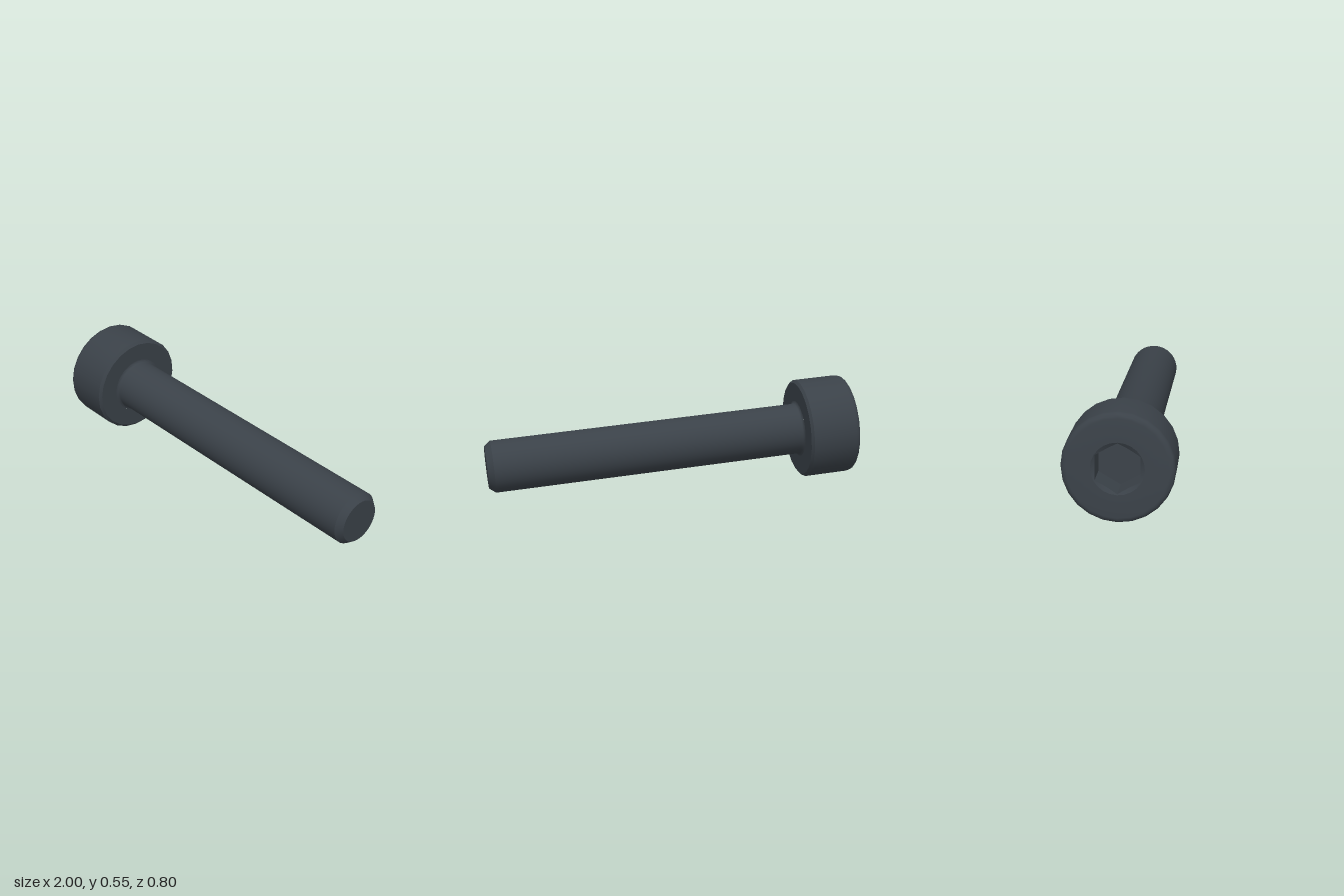
import * as THREE from 'three';
import { toCreasedNormals } from 'three/addons/utils/BufferGeometryUtils.js';

const HEAD_R = 0.266, SHAFT_R = 0.137, LENGTH = 1.97, HEAD_H = 0.275;
const RIM_R = 0.126, HEX_R = 0.122, HEX_DEPTH = 0.14;

// Points of a quarter-circle arc between two angles
function arc(cx, cy, r, from, to, steps = 4) {
  return Array.from({ length: steps + 1 }, (_, i) => {
    const a = from + (to - from) * i / steps;
    return [cx + r * Math.cos(a), cy + r * Math.sin(a)];
  });
}

function lathe(profile, segments) {
  return new THREE.LatheGeometry(profile.map(([r, y]) => new THREE.Vector2(r, y)), segments);
}

// Hexagonal socket: a turned profile whose round wall is pressed into a hexagon
function socketGeometry() {
  const geo = lathe([[0, HEX_DEPTH], [HEX_R, HEX_DEPTH], [HEX_R, 0.01], [RIM_R, 0]], 24);
  const p = geo.attributes.position;
  const sector = Math.PI / 3;
  for (let i = 0; i < p.count; i++) {
    const r = Math.hypot(p.getX(i), p.getZ(i));
    if (r < 0.01 || p.getY(i) < 0.001) continue; // floor centre and round rim stay
    const a = Math.atan2(p.getX(i), p.getZ(i)) + Math.PI * 2;
    const hexR = HEX_R * Math.cos(sector / 2) / Math.cos((a + 1e-6) % sector - sector / 2);
    p.setX(i, Math.sin(a) * hexR);
    p.setZ(i, Math.cos(a) * hexR);
    if (p.getY(i) < 0.05) p.setY(i, (RIM_R - hexR) * 0.6); // countersink follows the flats
  }
  return geo;
}

export function createModel() {
  const steel = new THREE.MeshStandardMaterial({ color: 0x3a4148 });
  steel.name = 'blackened steel';
  const bolt = new THREE.Group();
  bolt.name = 'socketCapBolt';

  const add = (name, geo) => {
    const mesh = new THREE.Mesh(toCreasedNormals(geo, Math.PI / 6), steel);
    mesh.name = name;
    bolt.add(mesh);
  };

  // Head: annular end face, rounded edge, wall, small bevel, underside
  add('head', lathe([
    [RIM_R, 0],
    ...arc(HEAD_R - 0.028, 0.028, 0.028, -Math.PI / 2, 0),
    [HEAD_R, HEAD_H - 0.013], [HEAD_R - 0.014, HEAD_H], [SHAFT_R + 0.015, HEAD_H],
  ], 24));

  add('hexSocket', socketGeometry());

  // Shaft: fillet under the head, plain shank, chamfered tip
  add('shaft', lathe([
    ...arc(SHAFT_R + 0.015, HEAD_H + 0.015, 0.015, -Math.PI / 2, -Math.PI),
    [SHAFT_R, LENGTH - 0.033], [0.111, LENGTH], [0, LENGTH],
  ], 40));

  // Lay the bolt down so that it rests on the head rim and the tip
  const axis = new THREE.Vector3(0.9744, -0.0765, 0.2114).normalize();
  const up = new THREE.Vector3(0, 1, 0).addScaledVector(axis, -axis.y).normalize();
  const side = new THREE.Vector3().crossVectors(axis, up);
  bolt.quaternion.setFromRotationMatrix(new THREE.Matrix4().makeBasis(side, axis, up));
  bolt.position.set(-0.945, 0.291, -0.149);

  const model = new THREE.Group();
  model.name = 'model';
  model.add(bolt);
  return model;
}
